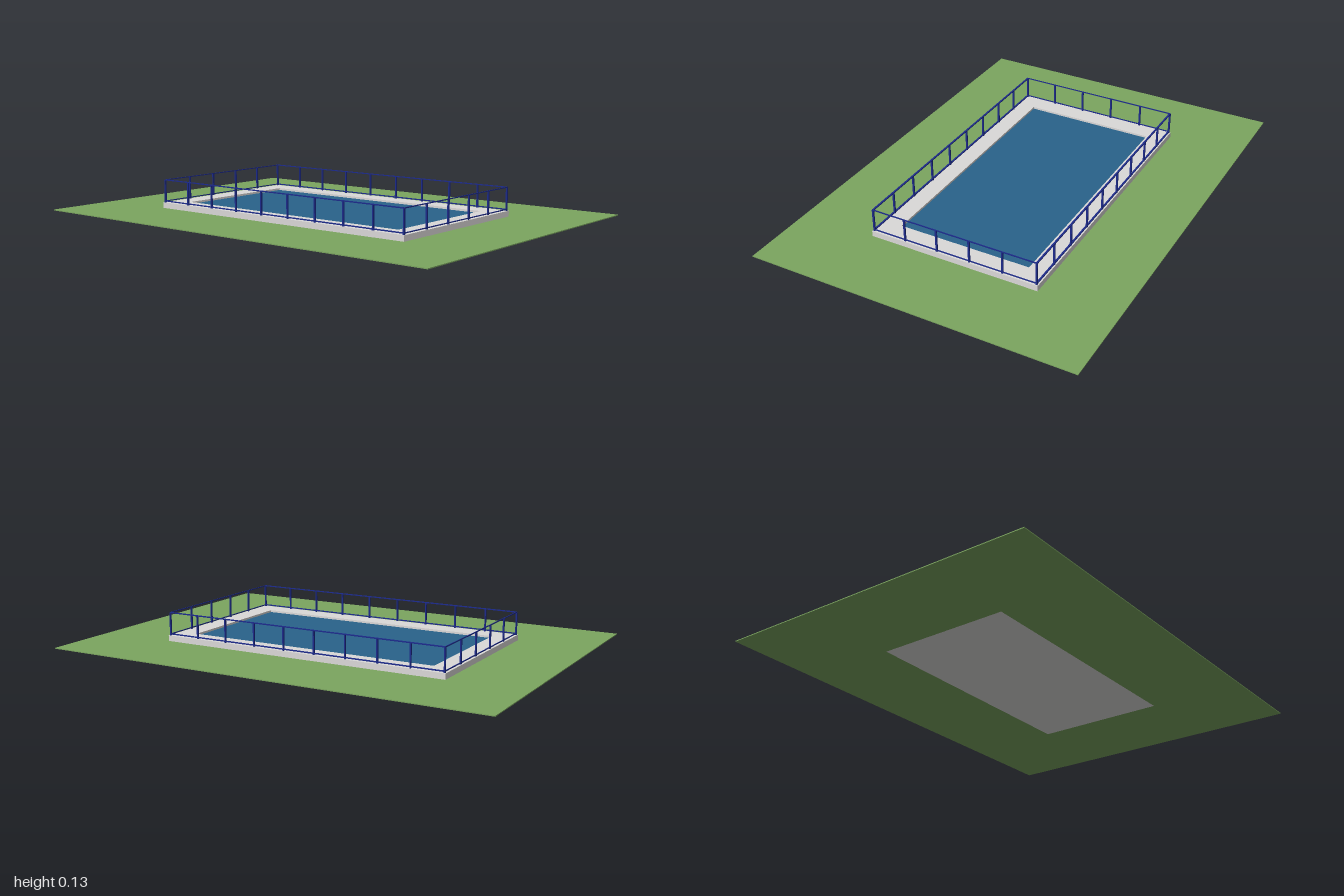
import * as THREE from 'three';

const mat = (name, color) => {
  const m = new THREE.MeshStandardMaterial({ color });
  m.name = name;
  return m;
};

export function createModel() {
  const grass = mat('grass green', 0x7ba55f);
  const stone = mat('pale stone', 0xdbd9d8);
  const water = mat('pool blue', 0x29628a);
  const navy = mat('navy metal', 0x1c2a8a);

  const model = new THREE.Group();
  model.name = 'swimmingPool';

  const add = (parent, name, geometry, material, x = 0, y = 0, z = 0) => {
    const mesh = new THREE.Mesh(geometry, material);
    mesh.name = name;
    mesh.position.set(x, y, z);
    parent.add(mesh);
  };
  const box = (parent, name, material, w, h, d, x, y, z) =>
    add(parent, name, new THREE.BoxGeometry(w, h, d), material, x, y, z);

  // Flat rectangular frame lying on the ground, open in the middle
  const frame = (w, d, holeW, holeD, h) => {
    const rect = (path, a, b) => path.moveTo(-a / 2, -b / 2).lineTo(a / 2, -b / 2)
      .lineTo(a / 2, b / 2).lineTo(-a / 2, b / 2).closePath();
    const shape = rect(new THREE.Shape(), w, d);
    shape.holes.push(rect(new THREE.Path(), holeW, holeD));
    return new THREE.ExtrudeGeometry(shape, { depth: h, bevelEnabled: false }).rotateX(-Math.PI / 2);
  };

  const poolW = 0.594, poolD = 1.144;

  // Lawn, paved deck and basin
  add(model, 'lawn', frame(1.446, 2, poolW, poolD, 0.004), grass);
  add(model, 'deck', frame(0.764, 1.32, poolW, poolD, 0.026), stone, 0, 0.003, 0);
  box(model, 'poolFloor', stone, poolW, 0.008, poolD, 0, 0.004, 0);
  box(model, 'water', water, poolW, 0.012, poolD, 0, 0.014, 0);

  // Fence of flat bars around the deck edge
  const fence = new THREE.Group();
  fence.name = 'fence';
  model.add(fence);
  const fx = 0.374, fz = 0.653, top = 0.13, base = 0.028, barW = 0.008, barD = 0.006, rail = 0.004;
  const addPost = (x, z) =>
    box(fence, 'fencePost', navy, barW, top - base, barD, x, (top + base) / 2, z);

  for (const s of [-1, 1]) {
    for (let i = 0; i < 6; i++) addPost(-fx + (i * 2 * fx) / 5, s * fz);
    for (let i = 1; i < 9; i++) addPost(s * fx, -fz + (i * 2 * fz) / 9);
    for (const y of [0.035, top]) {
      box(fence, 'endRail', navy, 2 * fx, rail, rail, 0, y, s * fz);
      box(fence, 'sideRail', navy, barW, rail, 2 * fz, s * fx, y, 0);
    }
  }
  return model;
}
